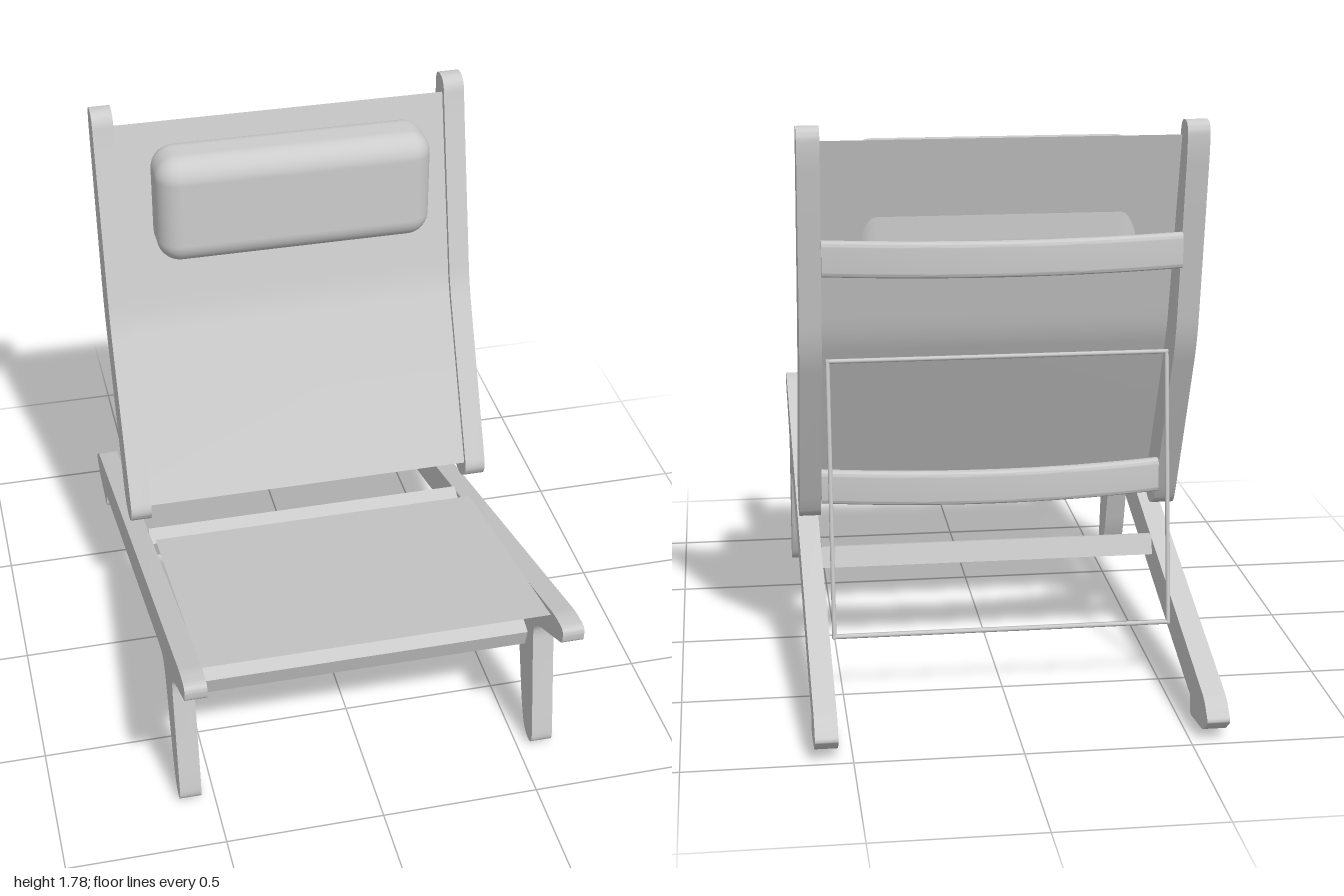
import * as THREE from 'three';
import { toCreasedNormals } from 'three/addons/utils/BufferGeometryUtils.js';
import { RoundedBoxGeometry } from 'three/addons/geometries/RoundedBoxGeometry.js';

const RAIL_IN = 0.543, RAIL_W = 0.068;

// Closed outline from [u, v, cornerRadius] points
function roundedShape(points) {
  const shape = new THREE.Shape();
  const n = points.length;
  points.forEach(([u, v, r = 0], i) => {
    const p = new THREE.Vector2(u, v);
    const toward = ([a, b]) => {
      const d = new THREE.Vector2(a, b).sub(p);
      return d.setLength(Math.min(r, d.length() * 0.49)).add(p);
    };
    const a = toward(points[(i + n - 1) % n]), b = toward(points[(i + 1) % n]);
    if (i === 0) shape.moveTo(a.x, a.y); else shape.lineTo(a.x, a.y);
    if (r > 0) shape.quadraticCurveTo(p.x, p.y, b.x, b.y);
  });
  shape.closePath();
  return shape;
}

// Extrude a (z, y) outline across x, starting at x0
function extrudeAcross(points, x0, width, steps = 1) {
  const geo = new THREE.ExtrudeGeometry(roundedShape(points), {
    depth: width, steps, bevelEnabled: false, curveSegments: 8,
  });
  return geo.rotateY(-Math.PI / 2).translate(x0 + width, 0, 0);
}

// Cloth sheet following a (z, y) profile
function sheet(profile, halfWidth) {
  const geo = new THREE.PlaneGeometry(halfWidth * 2, 1, 1, profile.length - 1);
  const pos = geo.attributes.position;
  for (let i = 0; i < pos.count; i++) {
    const [z, y] = profile[Math.floor(i / 2)];
    pos.setXYZ(i, pos.getX(i), y, z);
  }
  geo.computeVertexNormals();
  return geo;
}

export function createModel() {
  const group = new THREE.Group();
  const grey = new THREE.MeshStandardMaterial({ color: 0xcccccc, side: THREE.DoubleSide });
  grey.name = 'light grey';
  const add = (name, geo) => {
    const mesh = new THREE.Mesh(geo, grey);
    mesh.name = name;
    group.add(mesh);
    return mesh;
  };

  // Sloping base rail with front leg and rear foot in one outline
  const baseProfile = [
    [1.0, 0.607, 0.012], [1.005, 0.66, 0.03], [0.92, 0.653, 0.03], [-0.95, 0.126, 0.02],
    [-1.008, 0.073, 0.02], [-0.945, 0.024, 0.02], [-0.768, 0.0, 0.025], [-0.765, 0.064, 0.01],
    [-0.743, 0.066, 0.01], [0.57, 0.425, 0.06], [0.61, 0.37, 0.04], [0.69, 0.105, 0.05],
    [0.735, 0.01, 0.06], [0.815, 0.01, 0.05], [0.803, 0.1, 0.03], [0.745, 0.46, 0.05],
    [0.79, 0.503, 0.03],
  ];
  // Bent side rail of the backrest with round ends
  const backProfile = [
    [-0.44, 1.695, 0.05], [-0.458, 1.785, 0.05], [-0.547, 1.785, 0.05], [-0.546, 1.70, 0.05],
    [-0.496, 1.40, 0.1], [-0.443, 1.09, 0.08], [-0.185, 0.527, 0.03], [-0.155, 0.475, 0.04],
    [-0.075, 0.458, 0.05], [-0.01, 0.515, 0.045], [-0.293, 1.10, 0.06],
  ];
  for (const [side, x0] of [['left', RAIL_IN], ['right', -RAIL_IN - RAIL_W]]) {
    add(side + 'BaseRail', toCreasedNormals(extrudeAcross(baseProfile, x0, RAIL_W), 0.5));
    add(side + 'BackRail', toCreasedNormals(extrudeAcross(backProfile, x0, RAIL_W), 0.5));
  }

  // Cross bars between the base rails
  for (const [name, y, z] of [['frontCrossBar', 0.378, 0.66], ['rearCrossBar', 0.323, -0.12]]) {
    const bar = add(name, new THREE.BoxGeometry(RAIL_IN * 2, 0.068, 0.065));
    bar.position.set(0, y, z);
    bar.rotation.x = 0.3;
  }

  // Bowed slats behind the backrest
  const slatProfile = [
    [-0.022, -0.054, 0.016], [0.022, -0.054, 0.016], [0.022, 0.054, 0.016], [-0.022, 0.054, 0.016],
  ];
  for (const [name, y, z] of [['upperBackSlat', 1.39, -0.565], ['lowerBackSlat', 0.595, -0.281]]) {
    const geo = extrudeAcross(slatProfile, -RAIL_IN, RAIL_IN * 2, 24);
    const pos = geo.attributes.position;
    for (let i = 0; i < pos.count; i++) {
      const t = pos.getX(i) / RAIL_IN;
      pos.setZ(i, pos.getZ(i) + 0.066 * t * t);
    }
    add(name, toCreasedNormals(geo, 0.6)).position.set(0, y, z);
  }

  // Cloth of back and seat
  add('backCloth', sheet([
    [-0.47, 1.735], [-0.328, 1.17], [-0.318, 1.13], [-0.306, 1.095], [-0.29, 1.055], [-0.04, 0.54],
  ], RAIL_IN));
  add('seatCloth', sheet([[0.035, 0.452], [0.89, 0.628]], RAIL_IN));

  // Head pillow
  add('headPillow', new RoundedBoxGeometry(0.894, 0.366, 0.209, 6, 0.075)).position.set(0, 1.528, -0.305);

  // Wire frame propping up the backrest
  const corners = [[-0.525, 1.05, -0.398], [0.525, 1.05, -0.398], [0.525, 0.2, -0.511], [-0.525, 0.2, -0.511]]
    .map((c) => new THREE.Vector3(...c));
  corners.forEach((a, i) => {
    const b = corners[(i + 1) % 4];
    const wire = add('supportWire', new THREE.CylinderGeometry(0.007, 0.007, a.distanceTo(b) + 0.01, 10));
    wire.position.copy(a).add(b).multiplyScalar(0.5);
    wire.quaternion.setFromUnitVectors(new THREE.Vector3(0, 1, 0), b.clone().sub(a).normalize());
  });

  return group;
}
